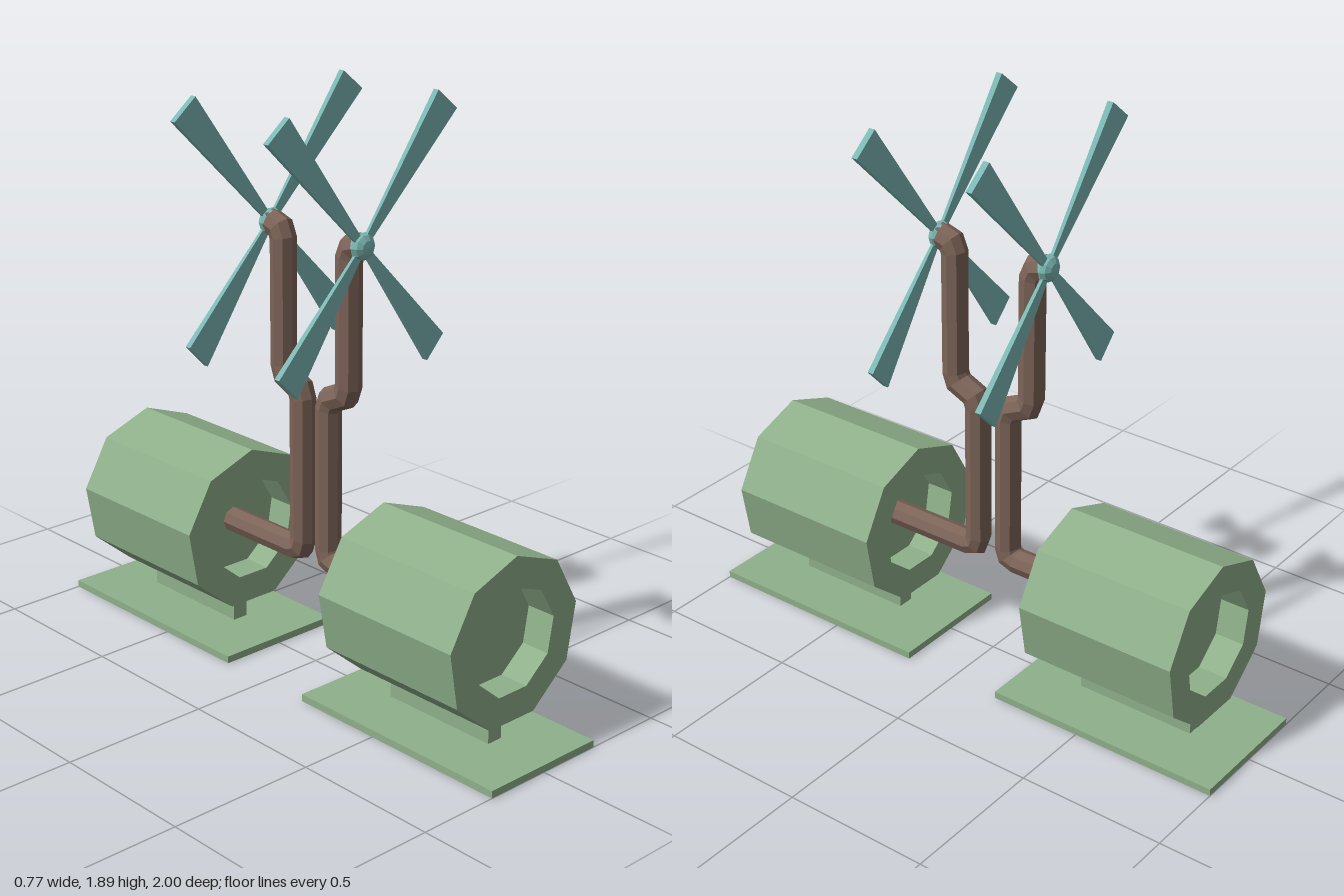
import * as THREE from 'three';

const paint = (color, side = THREE.FrontSide) =>
  new THREE.MeshStandardMaterial({ color, side, flatShading: true });
const green = paint(0x8fb08b);
const greenThin = paint(0x8fb08b, THREE.DoubleSide);
const brown = paint(0x7d6458);
const teal = paint(0x7bb8b4);
const HUB_Y = 1.453, BLADE_Z = 0.209;

function add(parent, name, geometry, material) {
  const mesh = new THREE.Mesh(geometry, material);
  mesh.name = name;
  parent.add(mesh);
  return mesh;
}

// Nine-sided drum along z, with a shallow recess in each end
function drumGeometry() {
  const z0 = 0.31, z1 = 0.867, R = 0.277, r = 0.175, d = 0.1;
  const profile = [[0, z0 + d], [r, z0 + d], [r, z0], [R, z0], [R, z1], [r, z1], [r, z1 - d], [0, z1 - d]]
    .map(p => new THREE.Vector2(...p));
  return new THREE.LatheGeometry(profile, 9, Math.PI).rotateX(Math.PI / 2).translate(0, 0.379, 0);
}

// Flat base with a slot under the hollow stand
function baseGeometry() {
  const rect = (path, x, za, zb) => path.moveTo(-x, -za).lineTo(x, -za).lineTo(x, -zb).lineTo(-x, -zb).closePath();
  const shape = rect(new THREE.Shape(), 0.225, 0.18, 1);
  shape.holes.push(rect(new THREE.Path(), 0.028, 0.38, 0.8));
  return new THREE.ExtrudeGeometry(shape, { depth: 0.024, bevelEnabled: false }).rotateX(-Math.PI / 2);
}

// Eight-sided pipe with mitred bends along a path of [z, y] points
function pipeGeometry(path, radius, sides = 8) {
  const pts = path.map(([z, y]) => new THREE.Vector3(0, y, z));
  const X = new THREE.Vector3(1, 0, 0), pos = [], idx = [];
  pts.forEach((p, i) => {
    const a = new THREE.Vector3().subVectors(p, pts[i - 1] ?? p).normalize();
    const b = new THREE.Vector3().subVectors(pts[i + 1] ?? p, p).normalize();
    const T = a.clone().add(b).normalize();
    const mitre = 1 / Math.max(T.dot(a), T.dot(b));
    const N = new THREE.Vector3().crossVectors(T, X).multiplyScalar(mitre);
    for (let j = 0; j < sides; j++) {
      const t = (j / sides) * Math.PI * 2;
      const v = p.clone().addScaledVector(X, radius * Math.cos(t)).addScaledVector(N, radius * Math.sin(t));
      pos.push(v.x, v.y, v.z);
      if (i < pts.length - 1) {
        const q = i * sides + j, s = i * sides + (j + 1) % sides;
        idx.push(q, s, q + sides, s, s + sides, q + sides);
      }
    }
  });
  // End caps
  const last = (pts.length - 1) * sides;
  for (let j = 1; j < sides - 1; j++) idx.push(0, j + 1, j, last, last + j, last + j + 1);
  const g = new THREE.BufferGeometry();
  g.setAttribute('position', new THREE.Float32BufferAttribute(pos, 3));
  g.setIndex(idx);
  g.computeVertexNormals();
  return g;
}

// Blade widening from the hub to a tip edge running from corner a to corner b
function bladeGeometry(a, b) {
  const tipA = new THREE.Vector2(...a), tipB = new THREE.Vector2(...b);
  const along = tipA.clone().add(tipB).normalize();
  const across = new THREE.Vector2(along.y, -along.x);
  const g = new THREE.BoxGeometry(1, 1, 1);
  const p = g.attributes.position;
  for (let i = 0; i < p.count; i++) {
    const s = Math.sign(p.getX(i)), tip = p.getY(i) > 0;
    const v = tip ? (s < 0 ? tipA : tipB)
      : along.clone().multiplyScalar(0.02).addScaledVector(across, 0.012 * s);
    p.setXYZ(i, v.x, HUB_Y + v.y, BLADE_Z + p.getZ(i) * (tip ? 0.021 : 0.01));
  }
  g.computeVertexNormals();
  return g;
}

function createHalf() {
  const half = new THREE.Group();
  add(half, 'drum', drumGeometry(), green);
  add(half, 'base', baseGeometry(), green);

  // Hollow stand between base and drum
  const stand = new THREE.CylinderGeometry(Math.SQRT1_2, Math.SQRT1_2, 1, 4, 1, true)
    .rotateY(Math.PI / 4).scale(0.056, 0.108, 0.42).translate(0, 0.07, 0.59);
  add(half, 'stand', stand, greenThin);

  add(half, 'pipe', pipeGeometry([
    [0.42, 0.38], [0.1, 0.38], [0.07, 0.391], [0.06, 0.42],
    [0.06, 0.9], [0.072, 0.932], [0.138, 0.962], [0.15, 0.995],
    [0.15, 1.41], [0.163, 1.44], [0.21, 1.455],
  ], 0.0425), brown);

  // Four-bladed rotor
  const rotor = new THREE.Group();
  rotor.name = 'rotor';
  half.add(rotor);
  const hub = new THREE.SphereGeometry(0.045, 10, 6).rotateX(Math.PI / 2)
    .scale(1, 1, 0.7).translate(0, HUB_Y, 0.206);
  add(rotor, 'hub', hub, teal);
  add(rotor, 'upperLeftBlade', bladeGeometry([0.303, 0.437], [0.385, 0.37]), teal);
  add(rotor, 'upperRightBlade', bladeGeometry([-0.385, 0.37], [-0.303, 0.437]), teal);
  add(rotor, 'lowerLeftBlade', bladeGeometry([0.344, -0.343], [0.274, -0.418]), teal);
  add(rotor, 'lowerRightBlade', bladeGeometry([-0.274, -0.418], [-0.348, -0.343]), teal);
  return half;
}

export function createModel() {
  const model = new THREE.Group();
  model.name = 'twinWindPumps';
  ['frontPump', 'backPump'].forEach((name, i) => {
    const half = createHalf();
    half.name = name;
    half.rotation.y = i * Math.PI;
    model.add(half);
  });
  return model;
}
